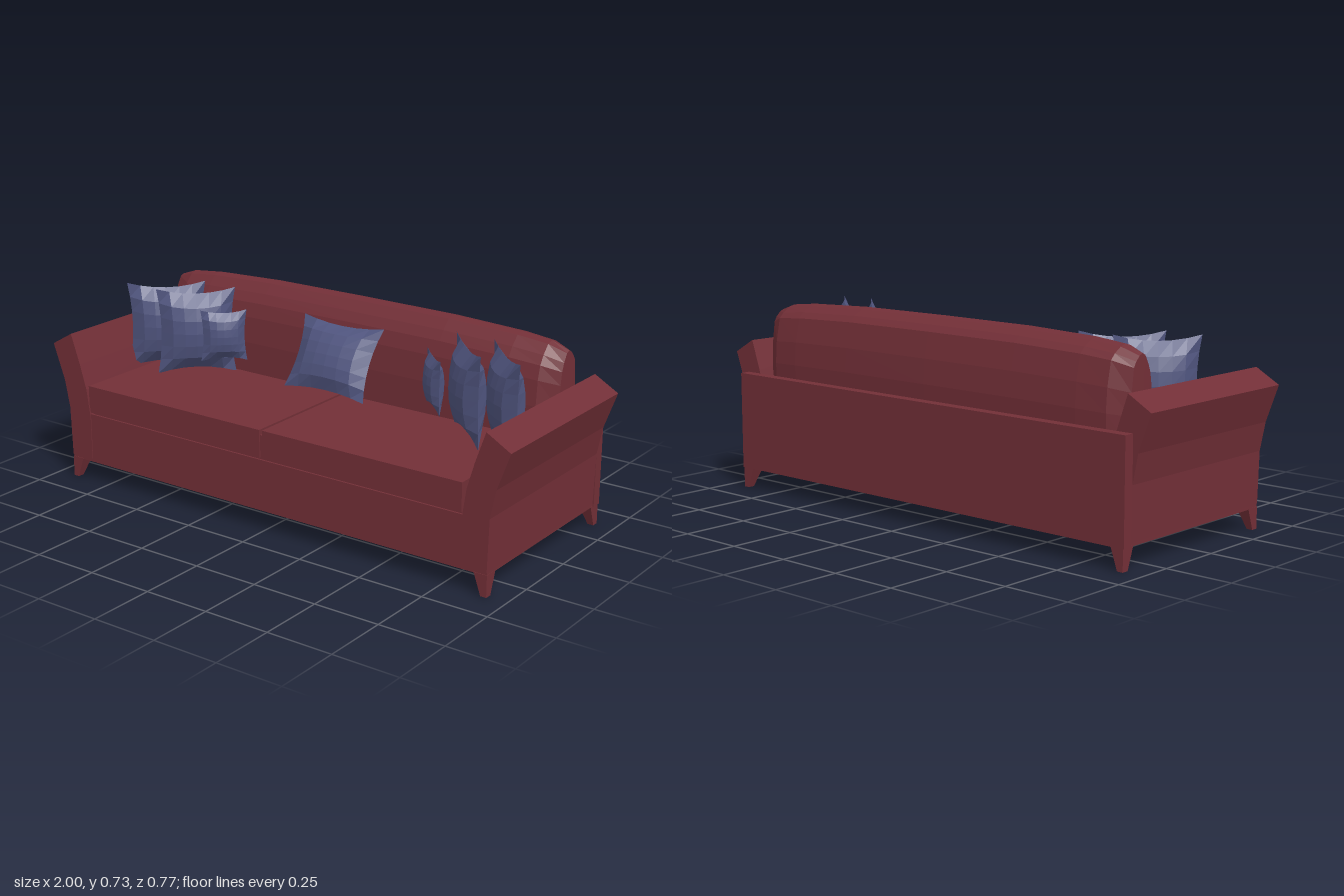
import * as THREE from 'three';
import { mergeGeometries } from 'three/addons/utils/BufferGeometryUtils.js';

export function createModel() {
  const group = new THREE.Group();
  const wine = new THREE.MeshStandardMaterial({ color: 0x722f37 });
  wine.name = 'wineFabric';
  const blue = new THREE.MeshStandardMaterial({ color: 0x50557f });
  blue.name = 'blueFabric';

  function add(name, geometry, material = wine) {
    const mesh = new THREE.Mesh(geometry, material);
    mesh.name = name;
    group.add(mesh);
    return mesh;
  }
  // box given by its limits on each axis
  function box(name, x0, x1, y0, y1, z0, z1) {
    const g = new THREE.BoxGeometry(x1 - x0, y1 - y0, z1 - z0);
    g.translate((x0 + x1) / 2, (y0 + y1) / 2, (z0 + z1) / 2);
    return add(name, g);
  }
  // faceted version of an indexed geometry
  function faceted(g) {
    const flat = g.toNonIndexed();
    flat.computeVertexNormals();
    return flat;
  }

  // base, back panel and seat
  box('base', -0.925, 0.925, 0.077, 0.27, -0.38, 0.382);
  box('backPanel', -0.93, 0.93, 0.077, 0.447, -0.385, -0.345);
  box('seatCore', -0.82, 0.82, 0.26, 0.36, -0.34, 0.375);
  box('seatCushionRight', -0.832, -0.015, 0.275, 0.38, -0.34, 0.38);
  box('seatCushionLeft', -0.003, 0.82, 0.275, 0.38, -0.34, 0.38);

  // flared arms, drawn as a front outline and extruded along the depth
  const armOutline = [
    [0.925, 0.09], [0.93, 0.28], [0.951, 0.385], [1, 0.52],
    [0.907, 0.573], [0.868, 0.46], [0.84, 0.365], [0.825, 0.26], [0.825, 0.09],
  ];
  for (const side of [-1, 1]) {
    const shape = new THREE.Shape(armOutline.map(([x, y]) => new THREE.Vector2(x * side, y)));
    const g = new THREE.ExtrudeGeometry(shape, { depth: 0.73, bevelEnabled: false });
    g.translate(0, 0, -0.345);
    add(side > 0 ? 'armLeft' : 'armRight', g);

    // tapered legs, straight on the outer faces
    for (const end of [-1, 1]) {
      const leg = new THREE.BoxGeometry(1, 1, 1);
      const p = leg.attributes.position;
      for (let i = 0; i < p.count; i++) {
        const top = p.getY(i) > 0;
        const outerX = p.getX(i) * side > 0;
        const outerZ = p.getZ(i) * end > 0;
        p.setXYZ(i,
          side * (outerX ? 0.926 : top ? 0.875 : 0.903),
          top ? 0.08 : 0,
          end * (outerZ ? 0.384 : top ? 0.33 : 0.358));
      }
      leg.computeVertexNormals();
      add((end > 0 ? 'front' : 'back') + 'Leg' + (side > 0 ? 'Left' : 'Right'), leg);
    }
  }

  // long rounded back cushion: one cross-section [z, y] scaled along x
  const ring = [
    [0.11, 0], [0.112, 0.12], [0.103, 0.22], [0.088, 0.275], [0.065, 0.31],
    [0.03, 0.345], [0, 0.353], [-0.03, 0.345], [-0.065, 0.325], [-0.088, 0.303],
    [-0.108, 0.21], [-0.115, 0.12], [-0.11, 0],
  ];
  const half = [[0, 1, 1], [0.4, 0.99, 0.995], [0.68, 0.96, 0.965], [0.8, 0.87, 0.93], [0.868, 0.5, 0.86], [0.872, 0, 0]];
  const sections = [...half.slice(1).reverse().map(([x, w, h]) => [-x, w, h]), ...half];
  const verts = [], faces = [], n = ring.length;
  sections.forEach(([x, w, h], i) => {
    ring.forEach(([z, y], j) => {
      verts.push(x, 0.38 + y * h, -0.22 + z * w);
      if (i < sections.length - 1) {
        const a = i * n + j, c = i * n + (j + 1) % n;
        faces.push(a, a + n, c, a + n, c + n, c);
      }
    });
  });
  const bolster = new THREE.BufferGeometry();
  bolster.setAttribute('position', new THREE.Float32BufferAttribute(verts, 3));
  bolster.setIndex(faces);
  add('backCushion', faceted(bolster));

  // throw pillow: two bulging sheets with pinched edges and pointed corners
  function pillow(name, w, h, depth, x, y, z, yaw, tilt = 0) {
    const front = new THREE.PlaneGeometry(2, 2, 6, 6);
    const p = front.attributes.position;
    for (let i = 0; i < p.count; i++) {
      const u = p.getX(i), v = p.getY(i);
      const bulge = Math.pow(Math.max(0, (1 - u * u) * (1 - v * v)), 0.6);
      p.setXYZ(i,
        u * (1 - 0.11 * (1 - v * v)) * w / 2,
        v * (1 - 0.13 * (1 - u * u)) * h / 2,
        bulge * depth / 2);
    }
    const back = front.clone().rotateY(Math.PI);
    const mesh = add(name, faceted(mergeGeometries([front, back])), blue);
    mesh.position.set(x, y, z);
    mesh.rotation.set(tilt, yaw, 0);
  }
  pillow('centrePillow', 0.355, 0.28, 0.1, 0.002, 0.54, -0.04, 0, -0.49);
  for (const side of [-1, 1]) {
    const label = side > 0 ? 'Left' : 'Right';
    const shift = side > 0 ? -0.018 : 0;
    const yaw = -side * 0.74;
    pillow('outerPillow' + label, 0.3, 0.335, 0.12, side * 0.767 + shift, 0.545, -0.003, yaw);
    pillow('middlePillow' + label, 0.3, 0.335, 0.12, side * 0.617 + shift, 0.545, 0, yaw);
    pillow('smallPillow' + label, 0.175, 0.2, 0.07, side * 0.48 + shift, 0.55, 0.002, yaw);
  }
  return group;
}
